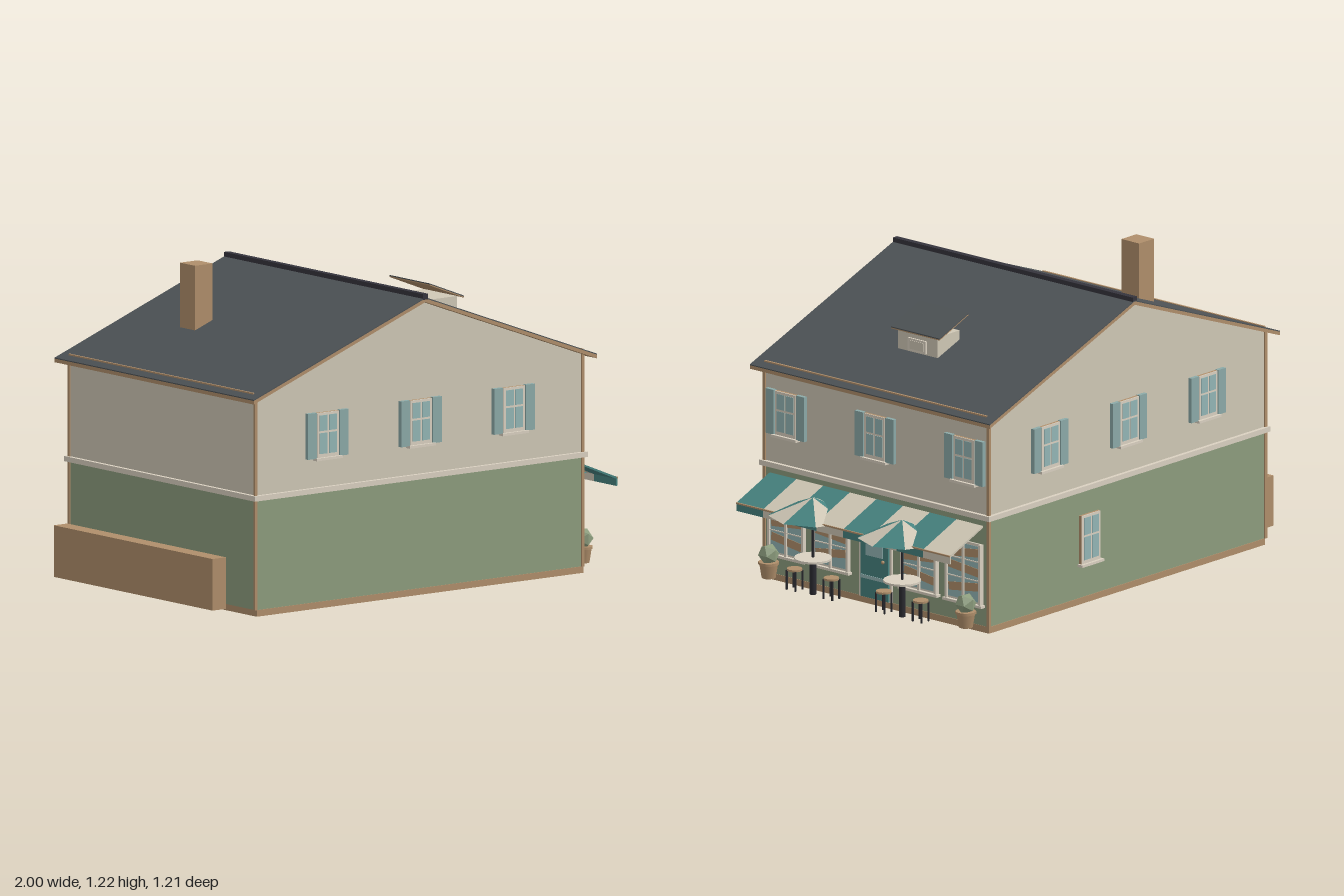
import * as THREE from 'three';

const mat = (name, color) => Object.assign(new THREE.MeshStandardMaterial({ color }), { name });
const M = {
  cream: mat('cream plaster', 0xd0c8b6), trim: mat('pale trim', 0xdad1c1),
  green: mat('sage green', 0x8d9d7e), teal: mat('teal', 0x46827f),
  glass: mat('pale blue glass', 0x93b6b5), shutter: mat('shutter blue', 0x8caaa8),
  wood: mat('tan wood', 0xb08f6b), slate: mat('slate grey', 0x4e5356),
  ridge: mat('dark ridge', 0x35343c), iron: mat('black iron', 0x2a2a30),
};

function add(parent, name, geometry, material, x = 0, y = 0, z = 0) {
  const mesh = new THREE.Mesh(geometry, material);
  mesh.name = name;
  mesh.position.set(x, y, z);
  parent.add(mesh);
  return mesh;
}

// Box given by its extents along each axis
function box(parent, name, material, [x0, x1], [y0, y1], [z0, z1]) {
  return add(parent, name, new THREE.BoxGeometry(x1 - x0, y1 - y0, z1 - z0), material,
    (x0 + x1) / 2, (y0 + y1) / 2, (z0 + z1) / 2);
}

// Prism with a profile in the xy plane, running from z0 to z1
function prism(parent, name, material, points, z0, z1) {
  const shape = new THREE.Shape(points.map(p => new THREE.Vector2(...p)));
  const geometry = new THREE.ExtrudeGeometry(shape, { depth: z1 - z0, bevelEnabled: false });
  return add(parent, name, geometry, material, 0, 0, z0);
}

function group(parent, name, x = 0, y = 0, z = 0, turn = 0) {
  const g = new THREE.Group();
  g.name = name;
  g.position.set(x, y, z);
  g.rotation.y = turn;
  parent.add(g);
  return g;
}

const RIDGE_X = -0.07, LEFT = 0.72, RIGHT = -0.86, DEPTH = 0.565, SLOPE = 0.3675;

// Window facing local +z, with y measured from the ground
function houseWindow(parent, x, z, turn, y0, y1, shutters) {
  const w = group(parent, 'window', x, 0, z, turn);
  box(w, 'windowSurround', M.wood, [-0.054, 0.054], [y0, y1], [-0.01, 0.01]);
  box(w, 'windowFrame', M.trim, [-0.052, 0.052], [y0, y1], [0.01, 0.014]);
  const split = y0 + (y1 - y0) * 0.57;
  for (const s of [-1, 1]) {
    const span = [Math.min(s * 0.004, s * 0.041), Math.max(s * 0.004, s * 0.041)];
    box(w, 'lowerPane', M.glass, span, [y0 + 0.014, split - 0.004], [0.014, 0.016]);
    box(w, 'upperPane', M.glass, span, [split + 0.004, y1 - 0.01], [0.014, 0.016]);
    if (shutters) box(w, 'shutter', M.shutter, [s * 0.077 - 0.021, s * 0.077 + 0.021],
      [y0 - 0.002, y1 + 0.002], [0, 0.016]);
  }
  box(w, 'windowSill', M.trim, [-0.063, 0.063], [y0 - 0.01, y0], [0, 0.025]);
}

// Shop window with slanted shelves behind a glazing grid
function shopWindow(parent, z, mirror) {
  const w = group(parent, 'shopWindow', LEFT, 0, z, Math.PI / 2);
  box(w, 'shopFrame', M.trim, [-0.09, 0.09], [0.105, 0.345], [0, 0.008]);
  box(w, 'shopGlass', M.glass, [-0.08, 0.08], [0.115, 0.335], [0.008, 0.01]);
  [0.3, 0.238, 0.165].forEach((y, i) => {
    const tilt = [0.13, -0.1, 0.14][i] * mirror;
    add(w, 'displayShelf', new THREE.BoxGeometry(0.152, 0.032, 0.002), M.wood, 0, y, 0.011)
      .rotation.z = -tilt;
  });
  for (const x of [-0.085, 0, 0.085])
    box(w, 'mullion', M.trim, [x - 0.005, x + 0.005], [0.105, 0.345], [0.008, 0.018]);
  for (const y of [0.2, 0.275])
    box(w, 'glazingBar', M.trim, [-0.08, 0.08], [y - 0.002, y + 0.002], [0.011, 0.015]);
  box(w, 'shopSill', M.trim, [-0.098, 0.098], [0.097, 0.107], [0, 0.022]);
}

function tableSet(parent, z) {
  const t = group(parent, 'terraceTable', 0.83, 0.025, z);
  const post = (name, r, y0, y1) =>
    add(t, name, new THREE.CylinderGeometry(r, r, y1 - y0, 10), M.iron, 0, (y0 + y1) / 2, 0);
  post('tablePedestal', 0.013, 0, 0.138);
  post('umbrellaPole', 0.005, 0.13, 0.378);
  add(t, 'tableTop', new THREE.CylinderGeometry(0.072, 0.072, 0.008, 16), M.trim, 0, 0.142, 0);
  // Umbrella panels, alternating in colour
  const canopy = [M.cream, M.teal].map(m => {
    const c = m.clone();
    c.copy(m);
    return c;
  });
  void canopy;
  const point = (i) => [0.17 * Math.cos(i * Math.PI / 4), 0.313, 0.17 * Math.sin(i * Math.PI / 4)];
  for (let i = 0; i < 8; i++) {
    const g = new THREE.BufferGeometry();
    const a = [0, 0.382, 0], b = point(i), c = point(i + 1);
    const under = [a, b, c].map(([x, y, w]) => [x, y - 0.003, w]);
    g.setAttribute('position', new THREE.Float32BufferAttribute(
      [a, c, b, ...under].flat(), 3));
    g.computeVertexNormals();
    add(t, 'umbrellaPanel', g, i % 2 ? M.teal : M.cream);
  }
  // Stools on both sides
  for (const s of [-1, 1]) {
    const stool = group(t, 'stool', 0, 0, s * 0.093);
    add(stool, 'stoolSeat', new THREE.CylinderGeometry(0.03, 0.03, 0.008, 12), M.wood, 0, 0.08, 0);
    for (const lx of [-1, 1]) for (const lz of [-1, 1])
      box(stool, 'stoolLeg', M.iron, [lx * 0.02 - 0.003, lx * 0.02 + 0.003], [0, 0.077],
        [lz * 0.022 - 0.003, lz * 0.022 + 0.003]);
  }
}

function planter(parent, z) {
  const p = group(parent, 'planter', 0.775, 0.025, z);
  add(p, 'pot', new THREE.CylinderGeometry(0.036, 0.027, 0.055, 10), M.wood, 0, 0.0275, 0);
  add(p, 'potRim', new THREE.CylinderGeometry(0.04, 0.04, 0.01, 10), M.wood, 0, 0.058, 0);
  add(p, 'shrub', new THREE.IcosahedronGeometry(0.042, 0), M.green, 0, 0.092, 0);
}

export function createModel() {
  const house = new THREE.Group();
  house.name = 'cafeHouse';
  const wallX = [RIGHT, LEFT], wallZ = [-DEPTH, DEPTH];

  // Walls
  box(house, 'plinth', M.wood, [RIGHT + 0.004, LEFT + 0.002], [0, 0.025], [-0.568, 0.568]);
  box(house, 'groundFloor', M.green, wallX, [0.025, 0.45], wallZ);
  box(house, 'upperFloor', M.cream, wallX, [0.45, 0.84], wallZ);
  box(house, 'floorBand', M.trim, [RIGHT - 0.015, LEFT + 0.015], [0.445, 0.465], [-0.58, 0.58]);
  prism(house, 'gable', M.cream, [[RIGHT, 0.84], [LEFT, 0.84], [RIDGE_X, 1.13]], -DEPTH, DEPTH);
  for (const x of wallX) {
    for (const z of wallZ)
      box(house, 'cornerBoard', M.wood, [x - 0.006, x + 0.006], [0.025, 0.845], [z - 0.006, z + 0.006]);
    const o = Math.sign(x - RIDGE_X) * 0.005;
    box(house, 'eavesBoard', M.wood, [x + o - 0.004, x + o + 0.004], [0.83, 0.859], [-0.56, 0.56]);
  }

  // Roof: timber layer with slate on top
  const chevron = (name, material, top, thick) => {
    const e = top - 0.83 * SLOPE;
    prism(house, name, material, [[RIDGE_X - 0.83, e], [RIDGE_X - 0.83, e - thick],
      [RIDGE_X, top - thick], [RIDGE_X + 0.83, e - thick], [RIDGE_X + 0.83, e], [RIDGE_X, top]],
    -0.605, 0.605);
  };
  chevron('roofTimber', M.wood, 1.143, 0.014);
  chevron('roofSlate', M.slate, 1.147, 0.004);
  box(house, 'ridgeCap', M.ridge, [RIDGE_X - 0.012, RIDGE_X + 0.012], [1.138, 1.16], [-0.605, 0.605]);
  box(house, 'chimney', M.wood, [-0.56, -0.475], [0.93, 1.215], [-0.27, -0.18]);

  // Dormer
  box(house, 'dormer', M.cream, [0.36, 0.485], [0.93, 1.025], [-0.1, 0.1]);
  prism(house, 'dormerTimber', M.wood, [[0.335, 1.084], [0.5, 1.02], [0.5, 1.024], [0.335, 1.088]], -0.123, 0.123);
  prism(house, 'dormerSlate', M.slate, [[0.335, 1.088], [0.5, 1.024], [0.5, 1.028], [0.335, 1.092]], -0.123, 0.123);
  box(house, 'dormerFrame', M.trim, [0.485, 0.492], [0.948, 0.998], [-0.045, 0.045]);
  box(house, 'dormerGlass', M.cream, [0.492, 0.494], [0.956, 0.99], [-0.034, 0.034]);

  // Upper windows on three sides, and one low rear window
  for (const k of [-0.45, 0, 0.45]) {
    houseWindow(house, RIDGE_X + k, DEPTH, 0, 0.58, 0.752, true);
    houseWindow(house, RIDGE_X + k, -DEPTH, Math.PI, 0.58, 0.752, true);
    houseWindow(house, LEFT, k, Math.PI / 2, 0.58, 0.752, true);
  }
  houseWindow(house, 0.15, -DEPTH, Math.PI, 0.16, 0.35, false);

  // Shopfront
  for (const s of [-1, 1]) {
    shopWindow(house, s * 0.447, s);
    shopWindow(house, s * 0.223, -s);
    planter(house, s * 0.497);
    tableSet(house, s * 0.225);
  }
  const door = group(house, 'door', LEFT, 0, 0, Math.PI / 2);
  box(door, 'doorFrame', M.trim, [-0.082, 0.082], [0.025, 0.325], [0, 0.008]);
  box(door, 'doorLeaf', M.teal, [-0.07, 0.07], [0.028, 0.312], [0.008, 0.014]);
  box(door, 'doorGlass', M.glass, [-0.043, 0.043], [0.195, 0.297], [0.014, 0.017]);
  box(door, 'doorRail', M.glass, [-0.07, 0.07], [0.102, 0.116], [0.014, 0.017]);
  add(door, 'doorKnob', new THREE.SphereGeometry(0.007, 10, 8), M.wood, 0.048, 0.183, 0.02);

  // Striped awning with valance
  const profile = [[0.722, 0.42], [0.722, 0.413], [0.905, 0.337], [0.905, 0.31], [0.912, 0.31], [0.912, 0.343]];
  for (let i = 0; i < 8; i++) {
    const z = -0.538 + i * 0.1345;
    prism(house, 'awningStripe', i % 2 ? M.teal : M.cream, profile, z, z + 0.1345);
  }
  box(house, 'awningBar', M.wood, [0.907, 0.915], [0.338, 0.344], [-0.538, 0.538]);

  // Low garden wall
  box(house, 'gardenWall', M.wood, [-1, -0.935], [0.027, 0.225], [-0.485, 0.48]);
  return house;
}
